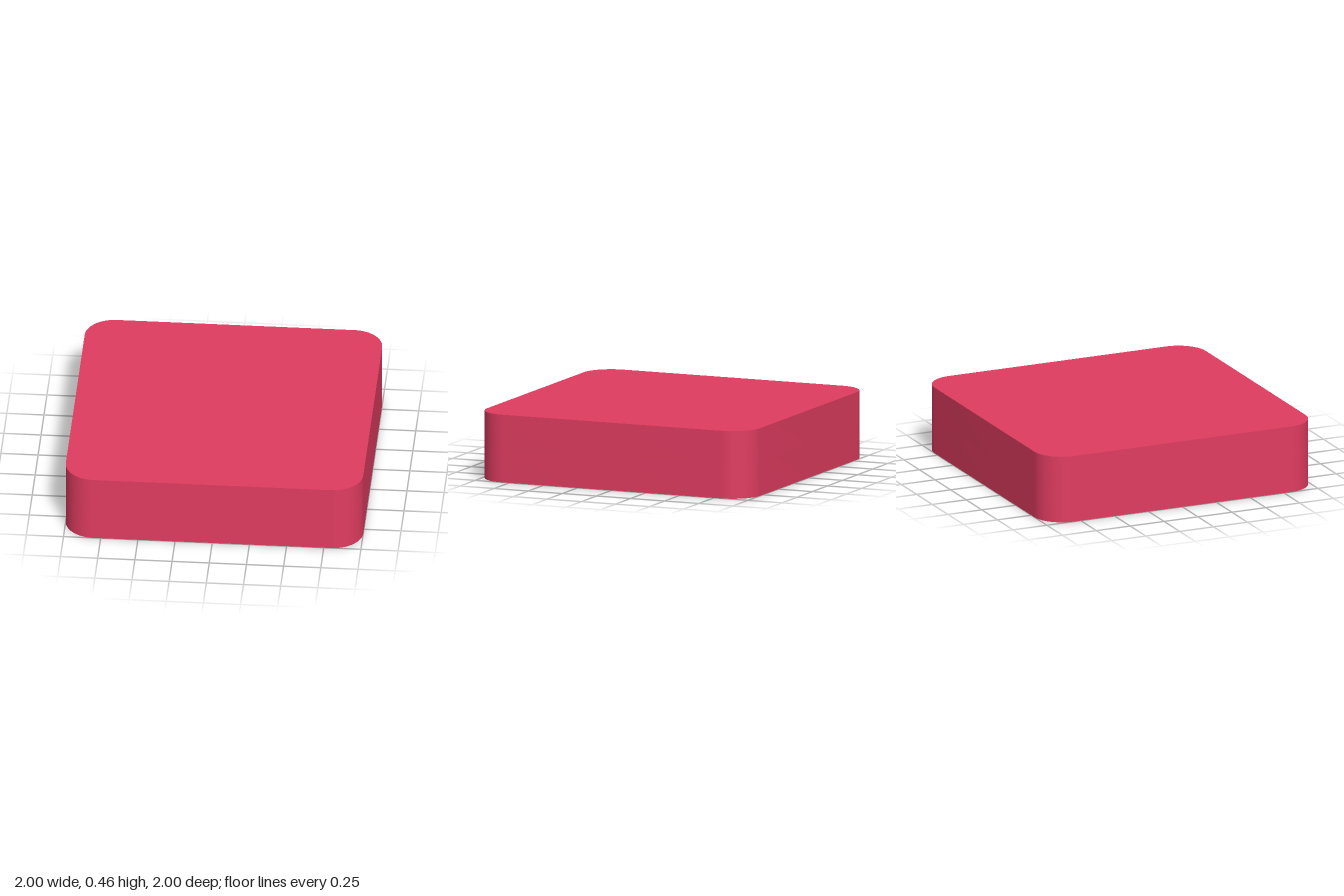
import * as THREE from 'three';
import { toCreasedNormals } from 'three/addons/utils/BufferGeometryUtils.js';

const HEIGHT = 0.46, CEILING = 0.23, WALL = 0.055, RADIUS = 0.2;

// Square outline with rounded corners, centred on the origin
function roundedSquare(half, r, PathType = THREE.Shape) {
  const p = new PathType(), c = half - r;
  p.moveTo(c, -half);
  p.absarc(c, -c, r, -Math.PI / 2, 0);
  p.absarc(c, c, r, 0, Math.PI / 2);
  p.absarc(-c, c, r, Math.PI / 2, Math.PI);
  p.absarc(-c, -c, r, Math.PI, Math.PI * 1.5);
  p.closePath();
  return p;
}

// Upright extrusion from y0 to y1 with smooth corners and sharp rims
function extrudeUp(shape, y0, y1) {
  const geo = new THREE.ExtrudeGeometry(shape, { depth: y1 - y0, bevelEnabled: false, curveSegments: 16 });
  geo.rotateX(-Math.PI / 2).translate(0, y0, 0);
  return toCreasedNormals(geo, 0.5);
}

export function createModel() {
  const group = new THREE.Group();
  group.name = 'lid';
  const red = new THREE.MeshStandardMaterial({ color: 0xe03c60 });
  const grey = new THREE.MeshStandardMaterial({ color: 0xcccccc });
  const add = (name, geo, mat) => {
    const mesh = new THREE.Mesh(geo, mat);
    mesh.name = name;
    group.add(mesh);
    return mesh;
  };

  // Solid top
  add('topSlab', extrudeUp(roundedSquare(1, RADIUS), CEILING, HEIGHT), red);

  // Thin skirt around the hollow underside
  const skirt = roundedSquare(1, RADIUS);
  skirt.holes.push(roundedSquare(1 - WALL, RADIUS - WALL, THREE.Path));
  add('skirt', extrudeUp(skirt, 0, CEILING), red);

  // Square plate on the inner ceiling
  const plate = add('innerPlate', new THREE.BoxGeometry(1.58, 0.02, 1.58), grey);
  plate.position.y = CEILING;

  return group;
}
